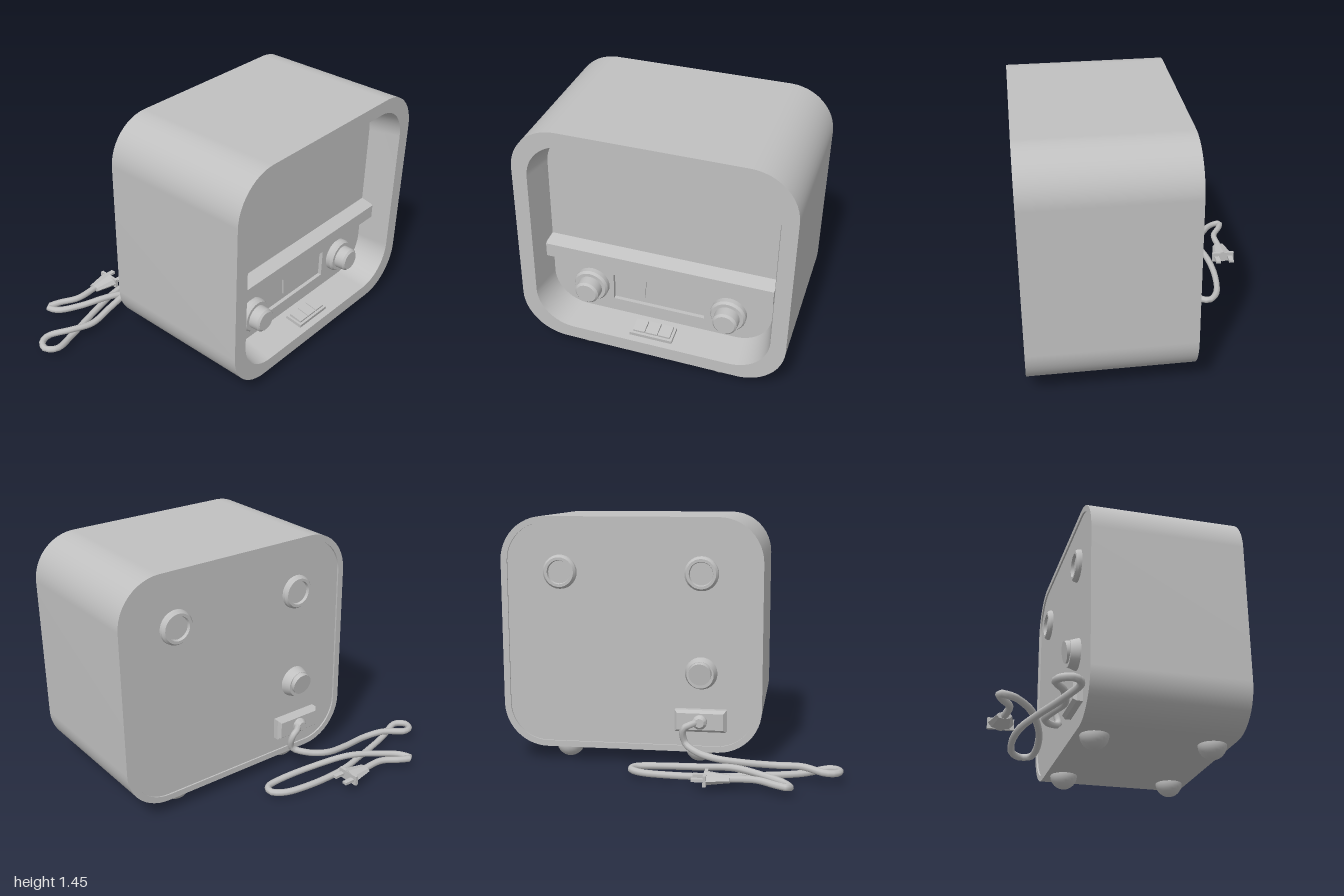
import * as THREE from 'three';
import { toCreasedNormals } from 'three/addons/utils/BufferGeometryUtils.js';

const grey = new THREE.MeshStandardMaterial({ color: 0xc0c0c0 });
grey.name = 'light grey';

const MID = 0.77; // height of the cabinet's middle

function add(parent, name, geometry, x = 0, y = 0, z = 0) {
  const mesh = new THREE.Mesh(geometry, grey);
  mesh.name = name;
  mesh.position.set(x, y, z);
  parent.add(mesh);
  return mesh;
}

// Counter-clockwise outline of a rounded rectangle
function roundedRect(w, h, r, steps = 12) {
  const points = [];
  const corners = [[1, -1], [1, 1], [-1, 1], [-1, -1]];
  corners.forEach(([sx, sy], c) => {
    for (let i = 0; i <= steps; i++) {
      const a = (c - 1 + i / steps) * Math.PI / 2;
      points.push(new THREE.Vector2(
        sx * (w / 2 - r) + r * Math.cos(a),
        sy * (h / 2 - r) + r * Math.sin(a)));
    }
  });
  return points;
}

// Skin through rounded rectangles [w, h, r, z], with a sharp edge at each one
function loft(sections) {
  const pos = [], index = [];
  for (let s = 0; s < sections.length - 1; s++) {
    const base = pos.length / 3;
    const n = roundedRect(1, 1, 0.1).length;
    for (const [w, h, r, z] of [sections[s], sections[s + 1]]) {
      for (const p of roundedRect(w, h, r)) pos.push(p.x, p.y, z);
    }
    for (let i = 0; i < n; i++) {
      const a = base + i, b = base + (i + 1) % n;
      index.push(a, b, b + n, a, b + n, a + n);
    }
  }
  const g = new THREE.BufferGeometry();
  g.setAttribute('position', new THREE.Float32BufferAttribute(pos, 3));
  g.setIndex(index);
  g.computeVertexNormals();
  return g;
}

// Turned part; its axis points along z (dir 1) or against it (dir -1)
function turned(profile, dir = 1) {
  const g = new THREE.LatheGeometry(profile.map(p => new THREE.Vector2(...p)), 28);
  return toCreasedNormals(g, 0.5).rotateX(dir * Math.PI / 2);
}

// Box whose front (+z) face is scaled
function taperedBox(w, h, d, sx, sy) {
  const g = new THREE.BoxGeometry(w, h, d);
  const p = g.attributes.position;
  for (let i = 0; i < p.count; i++) {
    if (p.getZ(i) > 0) p.setXY(i, p.getX(i) * sx, p.getY(i) * sy);
  }
  g.computeVertexNormals();
  return g;
}

// Cabinet, built facing +z
function createCabinet() {
  const cab = new THREE.Group();
  cab.name = 'radio';

  add(cab, 'cabinetShell', loft([
    [1.46, 1.295, 0.225, -0.19],
    [1.46, 1.295, 0.225, -0.2],
    [1.535, 1.367, 0.26, -0.2],
    [1.535, 1.367, 0.26, 0.717],
    [1.362, 1.208, 0.22, 0.717],
    [1.295, 1.152, 0.2, 0.527],
  ]), 0, MID);

  const back = new THREE.ShapeGeometry(new THREE.Shape(roundedRect(1.46, 1.295, 0.225)));
  add(cab, 'backPanel', back.rotateY(Math.PI), 0, MID, -0.19);

  // Front panel with a dial opening
  const panel = new THREE.Shape(roundedRect(1.295, 1.152, 0.2));
  const x0 = -0.282, x1 = 0.262, y0 = 0.278 - MID, y1 = 0.45 - MID;
  panel.holes.push(new THREE.Path([
    new THREE.Vector2(x0, y0), new THREE.Vector2(x0, y1),
    new THREE.Vector2(x1, y1), new THREE.Vector2(x1, y0)]));
  add(cab, 'frontPanel', new THREE.ExtrudeGeometry(panel,
    { depth: 0.025, bevelEnabled: false }), 0, MID, 0.502);
  add(cab, 'dialPlate', new THREE.BoxGeometry(0.56, 0.19, 0.008), -0.01, 0.364, 0.5);
  const needle = new THREE.Shape([
    new THREE.Vector2(-0.009, 0.13), new THREE.Vector2(0.002, 0), new THREE.Vector2(0.009, 0.13)]);
  add(cab, 'dialNeedle', new THREE.ExtrudeGeometry(needle,
    { depth: 0.009, bevelEnabled: false }), -0.098, 0.32, 0.504);

  add(cab, 'ledge', taperedBox(1.32, 0.14, 0.075, 0.995, 0.6), 0, 0.596, 0.5645);

  // Front knobs
  const knob = [[0.102, 0], [0.102, 0.03], [0.092, 0.045], [0.072, 0.045],
    [0.07, 0.1], [0.058, 0.112], [0, 0.112]];
  for (const x of [-0.41, 0.405]) add(cab, 'frontKnob', turned(knob), x, 0.364, 0.527);

  // Push buttons on the floor of the recess
  const buttons = new THREE.Group();
  buttons.name = 'pushButtons';
  buttons.position.set(-0.007, 0.184, 0.625);
  buttons.rotation.x = 0.12;
  add(buttons, 'buttonBase', new THREE.BoxGeometry(0.25, 0.03, 0.11));
  for (let i = -1; i <= 1; i++) {
    const g = taperedBox(0.07, 0.03, 0.08, 1, 0.6);
    add(buttons, 'button', g, i * 0.075, 0.017, 0);
  }
  cab.add(buttons);

  // Feet
  for (const x of [-0.395, 0.395]) for (const z of [-0.085, 0.605]) {
    add(cab, 'foot', new THREE.SphereGeometry(0.084, 24, 16), x, 0.087, z);
  }

  // Back fittings
  const ring = [[0.1, 0], [0.098, 0.016], [0.086, 0.032], [0.07, 0.032], [0.066, 0.014], [0, 0.014]];
  for (const x of [-0.413, 0.415]) add(cab, 'backRing', turned(ring, -1), x, 1.133, -0.19);
  add(cab, 'backKnobBase', turned([[0.095, 0], [0.092, 0.012], [0.078, 0.055], [0, 0.055]], -1),
    -0.413, 0.555, -0.19);
  const cap = add(cab, 'backKnobCap', turned([[0.068, -0.03], [0.064, 0.024], [0, 0.024]], -1),
    -0.413, 0.565, -0.243);
  cap.rotation.x = -0.15;

  // Power socket
  const socket = new THREE.Group();
  socket.name = 'powerSocket';
  socket.position.set(-0.413, 0.28, -0.19);
  socket.rotation.y = Math.PI;
  add(socket, 'socketBody', new THREE.BoxGeometry(0.3, 0.13, 0.034), 0, 0, 0.017);
  add(socket, 'socketBevel', taperedBox(0.3, 0.13, 0.02, 0.9, 0.75), 0, 0, 0.044);
  add(socket, 'cordCollar', turned([[0.042, 0], [0.042, 0.03], [0.026, 0.05], [0, 0.05]]), 0, 0, 0.04);
  cab.add(socket);
  return cab;
}

// Cord and its plug
function createCord() {
  const cord = new THREE.Group();
  cord.name = 'powerCord';
  const path = [
    [-0.23, 0.28, 0.18], [-0.28, 0.275, 0.14], [-0.295, 0.25, 0.09], [-0.275, 0.16, 0.1],
    [-0.34, 0.125, 0.18], [-0.39, 0.11, 0.29], [-0.38, 0.09, 0.45], [-0.355, 0.075, 0.64],
    [-0.39, 0.085, 0.77], [-0.46, 0.075, 0.9], [-0.44, 0.07, 0.96], [-0.385, 0.068, 0.98],
    [-0.34, 0.065, 0.93], [-0.39, 0.045, 0.77], [-0.47, 0.045, 0.5], [-0.52, 0.045, 0.29],
    [-0.525, 0.045, 0.05], [-0.49, 0.043, -0.13], [-0.435, 0.043, -0.19], [-0.385, 0.043, -0.17],
    [-0.37, 0.045, -0.08], [-0.4, 0.06, 0.19], [-0.47, 0.085, 0.4], [-0.55, 0.07, 0.58],
    [-0.63, 0.06, 0.69], [-0.695, 0.06, 0.71], [-0.675, 0.065, 0.64], [-0.617, 0.07, 0.53],
    [-0.62, 0.07, 0.38],
  ].map(p => new THREE.Vector3(...p));
  add(cord, 'cord', new THREE.TubeGeometry(new THREE.CatmullRomCurve3(path), 140, 0.02, 8));

  const body = new THREE.CylinderGeometry(0.04, 0.072, 0.14, 8).rotateX(Math.PI / 2).scale(1, 0.5, 1);
  add(cord, 'plugBody', toCreasedNormals(body, 0.3), -0.62, 0.07, 0.32);
  add(cord, 'plugRim', new THREE.BoxGeometry(0.142, 0.06, 0.018), -0.62, 0.07, 0.256);
  for (const s of [-1, 1]) {
    add(cord, 'plugProng', new THREE.BoxGeometry(0.03, 0.016, 0.08), -0.62 + s * 0.043, 0.07, 0.222);
  }
  return cord;
}

export function createModel() {
  const model = new THREE.Group();
  model.name = 'tableRadio';
  const cabinet = createCabinet();
  cabinet.rotation.y = Math.PI / 2; // panel towards +x
  cabinet.position.z = -0.2325;
  model.add(cabinet, createCord());
  return model;
}
